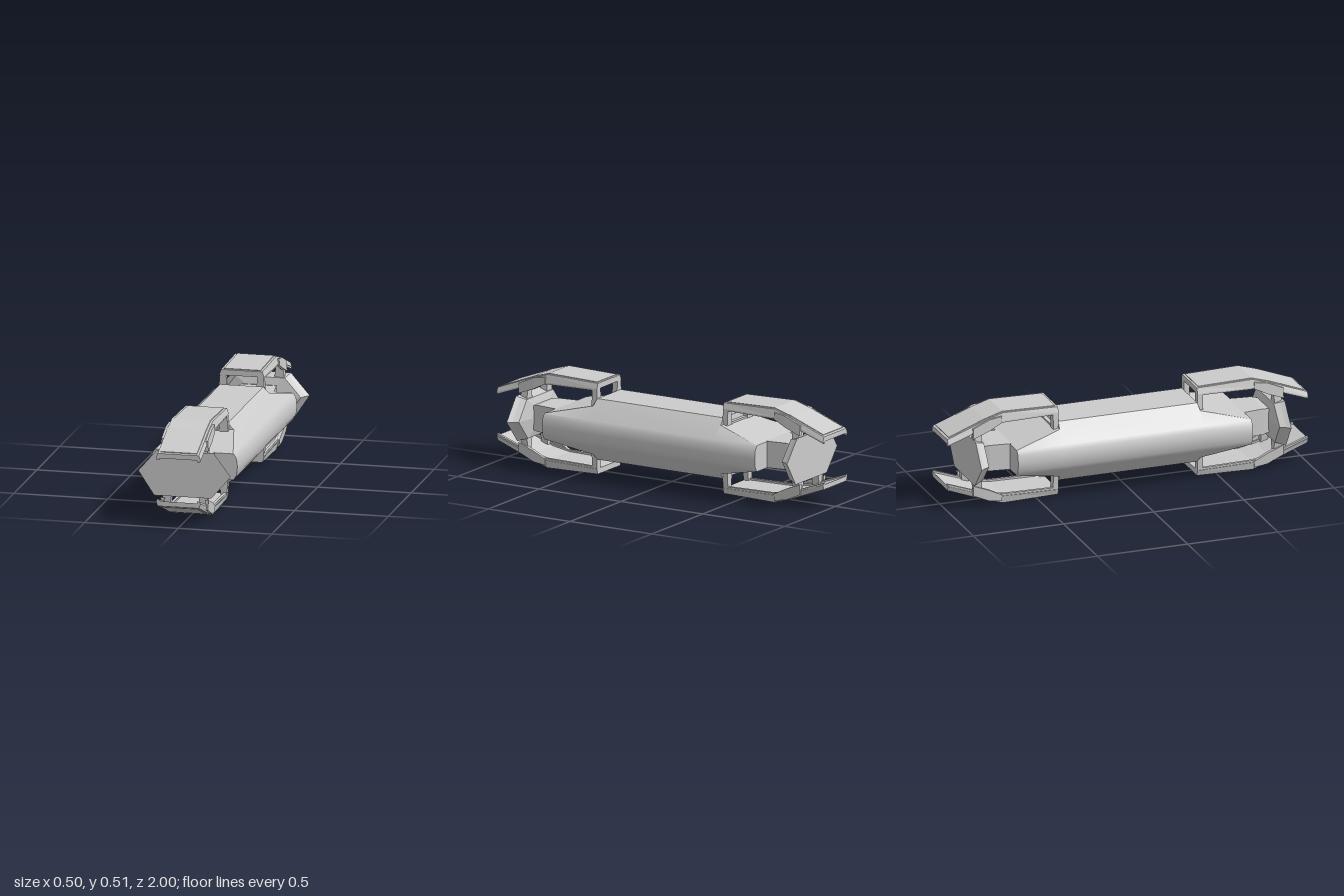
import * as THREE from 'three';
import { toCreasedNormals } from 'three/addons/utils/BufferGeometryUtils.js';

const MID = 0.258; // height of the long axis
const grey = new THREE.MeshStandardMaterial({ color: 0xcccccc, flatShading: true });
const smoothGrey = new THREE.MeshStandardMaterial({ color: 0xcccccc });

// Skins rings of [x, y, z] points (counter-clockwise seen from +z, ordered by rising z) and caps both ends
function loft(rings) {
  const out = [];
  const n = rings[0].length;
  const tri = (...pts) => pts.forEach((p) => out.push(...p));
  for (let r = 0; r < rings.length - 1; r++) {
    const a = rings[r], b = rings[r + 1];
    for (let i = 0; i < n; i++) {
      const j = (i + 1) % n;
      tri(a[i], a[j], b[j]);
      tri(a[i], b[j], b[i]);
    }
  }
  const first = rings[0], last = rings[rings.length - 1];
  for (let i = 1; i < n - 1; i++) {
    tri(first[0], first[i + 1], first[i]);
    tri(last[0], last[i], last[i + 1]);
  }
  const geo = new THREE.BufferGeometry();
  geo.setAttribute('position', new THREE.Float32BufferAttribute(out, 3));
  geo.computeVertexNormals();
  return geo;
}

function add(parent, name, geo, material = grey) {
  const mesh = new THREE.Mesh(geo, material);
  mesh.name = name;
  parent.add(mesh);
  return mesh;
}

// Six-sided body section, cut flat at half height h
function bodyRing(z, h) {
  const w = 0.115 + (0.163 - h);
  const quarter = [[0.226, 0.045], [0.212, 0.068], [w, h]];
  const upper = [[0.231, 0], ...quarter, ...quarter.map(([x, y]) => [-x, y]).reverse()];
  return [...upper, ...upper.map(([x, y]) => [-x, -y])].map(([x, y]) => [x, y, z]);
}

// Trapezoid section, used for plates and legs
const slab = (z, bottom, top, wBottom, wTop, x = 0) => [
  [x - wBottom, bottom, z], [x + wBottom, bottom, z], [x + wTop, top, z], [x - wTop, top, z],
];

// Bent plate on two legs, with a raised panel on its outer face
function makeArm() {
  const arm = new THREE.Group();
  arm.name = 'clampArm';
  // z, underside, outer face
  const path = [[0.385, 0.213, 0.243], [0.69, 0.208, 0.25], [0.79, 0.19, 0.22], [0.998, 0.115, 0.141]];
  add(arm, 'armPlate', loft(path.map(([z, b, t]) => slab(z, b, t, 0.12, 0.11))));
  const inset = [0.012, 0, 0, -0.012];
  const rise = [0, 0, 0, 0.004];
  add(arm, 'armPanel', loft(path.map(([z, , t], i) =>
    slab(z + inset[i], t - 0.008 + rise[i], t + 0.004 + rise[i], 0.1, 0.097))));

  for (const s of [-1, 1]) {
    // rim along the hollow underside
    add(arm, 'armRim', loft(path.map(([z, b]) => slab(z, b - 0.01, b + 0.004, 0.008, 0.008, s * 0.108))));
    // leg standing on the body, wider at its foot
    const leg = loft([0.385, 0.415].map((z) => slab(z, 0.1, 0.22, 0.026, 0.016, s * 0.1)));
    add(arm, 'armLeg', leg);
    // strut reaching the end plate
    const strut = loft([0.81, 0.85].map((z) => slab(z, 0.09, 0.185, 0.028, 0.016, s * 0.097)));
    add(arm, 'armStrut', strut);
    // ear clasping the bend of the arm
    const ear = loft([
      slab(0.7, 0.2, 0.235, 0.008, 0.006, s * 0.117),
      slab(0.77, 0.165, 0.225, 0.01, 0.006, s * 0.118),
      slab(0.86, 0.13, 0.185, 0.01, 0.006, s * 0.118),
    ]);
    add(arm, 'armEar', ear);
  }
  // foot bar joining the legs
  add(arm, 'armFoot', loft([0.385, 0.41].map((z) => slab(z, 0.1, 0.135, 0.12, 0.115))));
  return arm;
}

// One end: neck, hexagonal plate and two opposed arms
function makeEnd() {
  const end = new THREE.Group();
  end.name = 'clampEnd';
  add(end, 'neck', loft([slab(0.64, -0.07, 0.072, 0.11, 0.11), slab(0.76, -0.07, 0.072, 0.095, 0.095),
    slab(0.82, -0.06, 0.06, 0.08, 0.08)]));

  const hex = [[0.246, 0], [0.155, 0.122], [-0.148, 0.122], [-0.248, 0.006], [-0.163, -0.122], [0.142, -0.122]];
  const ring = (z, s) => hex.map(([x, y]) => [x * s, y * s, z]);
  add(end, 'endPlate', loft([ring(0.79, 0.45), ring(0.805, 0.86), ring(0.835, 0.93), ring(0.858, 1)]));

  const upper = makeArm();
  const lower = makeArm();
  lower.rotation.z = Math.PI;
  end.add(upper, lower);
  return end;
}

export function createModel() {
  const model = new THREE.Group();
  model.name = 'clampedCanister';

  // Long body with stepped ramps at both ends
  const stations = [[-0.65, 0.07], [-0.39, 0.13], [-0.385, 0.163], [0.385, 0.163], [0.39, 0.13], [0.65, 0.07]];
  const body = toCreasedNormals(loft(stations.map(([z, h]) => bodyRing(z, h))), 0.45);
  add(model, 'body', body, smoothGrey).position.y = MID;

  const front = makeEnd();
  const back = makeEnd();
  back.rotation.y = Math.PI;
  for (const end of [front, back]) {
    end.position.y = MID;
    model.add(end);
  }
  return model;
}
